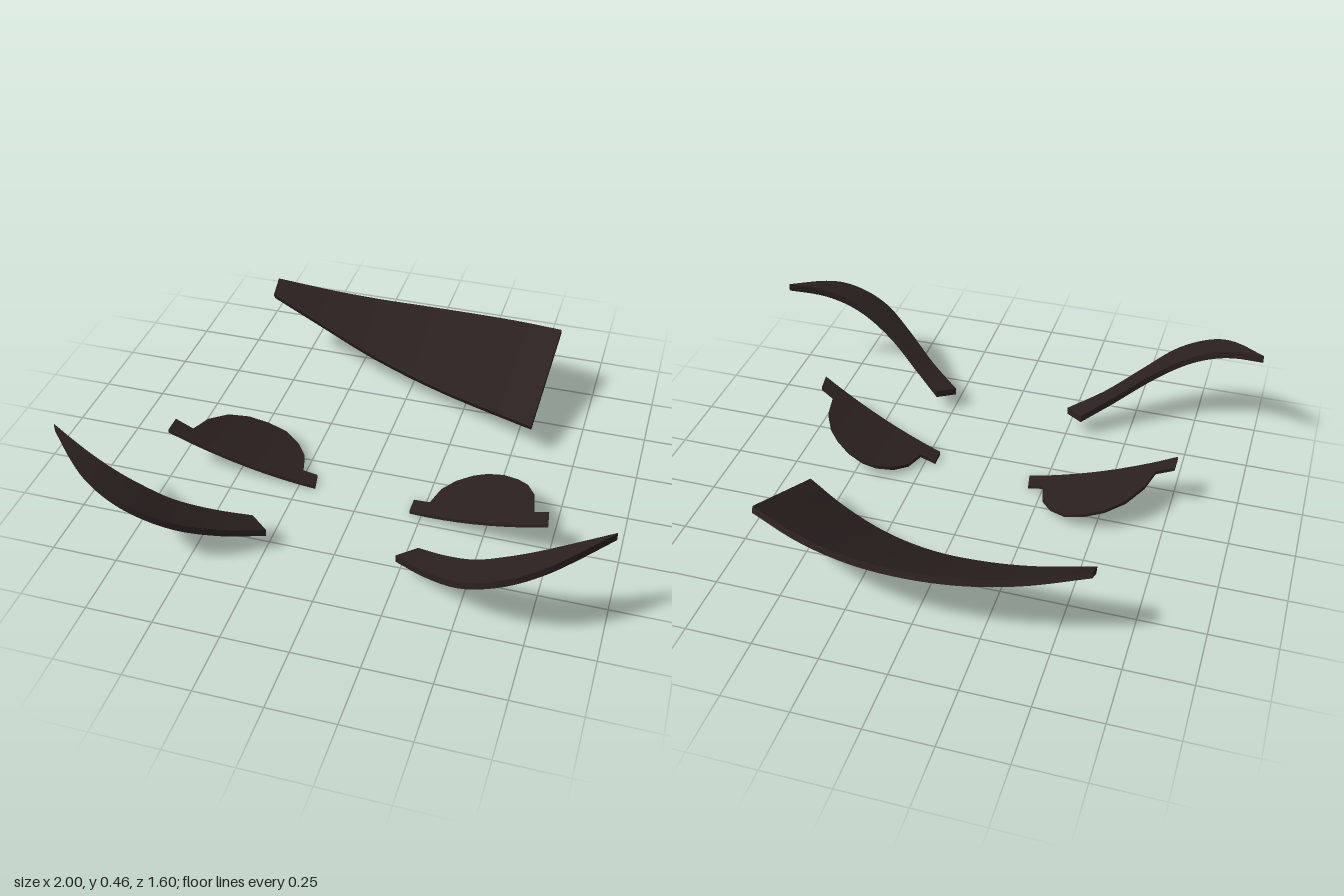
import * as THREE from 'three';
import { mergeGeometries } from 'three/addons/utils/BufferGeometryUtils.js';

const V = (p) => new THREE.Vector3(...p);
const smooth = (pts, n = 28) => new THREE.CatmullRomCurve3(pts.map(V)).getSpacedPoints
  ? Array.from({ length: n + 1 }, (_, i) => new THREE.CatmullRomCurve3(pts.map(V)).getPoint(i / n)) : [];
const moved = (pts, d) => pts.map((p) => p.clone().add(d));

// Smooth strip between two rows of points; faces along (row direction) x (a to b)
function sheet(a, b) {
  const g = new THREE.BufferGeometry();
  const index = [];
  const n = a.length;
  for (let i = 0; i < n - 1; i++) index.push(i, i + 1, n + i + 1, i, n + i + 1, n + i);
  g.setFromPoints([...a, ...b]);
  g.setIndex(index);
  g.computeVertexNormals();
  return g;
}

// Closed plate: front and back edges run towards +x, drop is the thickness vector
function plate(front, back, drop) {
  const f2 = moved(front, drop), b2 = moved(back, drop), e = front.length - 1;
  return mergeGeometries([
    sheet(front, back),
    sheet(b2, f2),
    sheet(f2, front),
    sheet(back, b2),
    sheet([f2[e], b2[e]], [front[e], back[e]]),
    sheet([b2[0], f2[0]], [back[0], front[0]]),
  ]);
}

export function createModel() {
  const group = new THREE.Group();
  const dark = new THREE.MeshStandardMaterial({ color: 0x2b2020 });
  dark.name = 'darkBrown';
  const tan = new THREE.MeshStandardMaterial({ color: 0xd9bd8a });
  tan.name = 'tan';
  const add = (name, geometry, material) => {
    const m = new THREE.Mesh(geometry, material);
    m.name = name;
    group.add(m);
  };

  // Mouth: tilted, bowed plate, wide at the left end
  const front = smooth([[-0.62, 0.33, -0.63], [-0.4, 0.243, -0.595], [-0.2, 0.176, -0.55],
    [0, 0.131, -0.5], [0.2, 0.114, -0.435], [0.4, 0.125, -0.35], [0.57, 0.15, -0.262]]);
  const back = smooth([[-0.62, 0.37, -0.7], [-0.4, 0.32, -0.75], [-0.2, 0.293, -0.78],
    [0, 0.285, -0.793], [0.2, 0.29, -0.785], [0.4, 0.31, -0.75], [0.6, 0.342, -0.685]]);
  const normal = new THREE.Vector3(0, -0.9, -0.44);
  add('mouth', plate(front, back, normal.clone().multiplyScalar(0.025)), dark);

  // Teeth: inset panel on the underside of the mouth
  const low = [], high = [];
  for (let i = 3; i <= 25; i++) {
    const k = (i - 3) / 22;
    low.push(front[i].clone().lerp(back[i], 0.25 - 0.08 * k));
    high.push(front[i].clone().lerp(back[i], 0.33 + 0.45 * k));
  }
  const under = normal.clone().multiplyScalar(0.0285);
  add('teeth', sheet(moved(high, under), moved(low, under)), tan);

  // Eyes: half discs with a straight lid, curling upwards away from the middle
  const lift = (x) => {
    const d = Math.abs(x) - 0.19;
    return 0.015 + 0.165 * d + 0.29 * d * d;
  };
  const eye = (name, arc, lidStart, lidEnd) => {
    const rim = [], lid = [];
    const lerp = (a, b, t) => a + (b - a) * t;
    const x0 = arc[0][0], x1 = arc[arc.length - 1][0];
    for (let i = 0; i < arc.length; i++) {
      const [x, z] = arc[i];
      const t = (x - x0) / (x1 - x0), lx = lerp(lidStart[0], lidEnd[0], t);
      rim.push(V([x, lift(x), z]));
      lid.push(V([lx, lift(lx), lerp(lidStart[1], lidEnd[1], t)]));
    }
    add(name, plate(lid, rim, V([0, -0.014, 0])), dark);
  };
  eye('leftEye', [[0.205, 0.14], [0.27, 0.152], [0.295, 0.07], [0.34, 0.02], [0.4, -0.01],
    [0.455, -0.016], [0.52, 0], [0.58, 0.037], [0.625, 0.08], [0.66, 0.145], [0.68, 0.252],
    [0.735, 0.267]], [0.205, 0.207], [0.745, 0.34]);
  eye('rightEye', [[-0.755, 0.14], [-0.685, 0.14], [-0.66, 0.053], [-0.605, -0.027],
    [-0.535, -0.07], [-0.46, -0.085], [-0.385, -0.08], [-0.32, -0.04], [-0.275, 0.016],
    [-0.253, 0.1], [-0.195, 0.1]], [-0.755, 0.213], [-0.183, 0.165]);

  // Eyebrows: curved blades sweeping up to a point
  const outer = [[0.243, 0.1, 0.545], [0.375, 0.145, 0.64], [0.51, 0.22, 0.736], [0.627, 0.3, 0.79],
    [0.72, 0.352, 0.795], [0.81, 0.395, 0.768], [0.88, 0.42, 0.72], [1, 0.447, 0.605]];
  const inner = [[0.312, 0.107, 0.492], [0.43, 0.17, 0.57], [0.55, 0.245, 0.64], [0.66, 0.316, 0.672],
    [0.74, 0.36, 0.678], [0.82, 0.396, 0.668], [0.89, 0.42, 0.648], [1, 0.447, 0.603]];
  const drop = V([0, -0.03, 0]);
  add('leftEyebrow', plate(smooth(outer), smooth(inner), drop), dark);
  const mirror = (pts) => pts.map(([x, y, z]) => [-x, y + 0.02 * Math.max(0, x - 0.3), z]).reverse();
  add('rightEyebrow', plate(smooth(mirror(outer)), smooth(mirror(inner)), drop), dark);

  return group;
}
